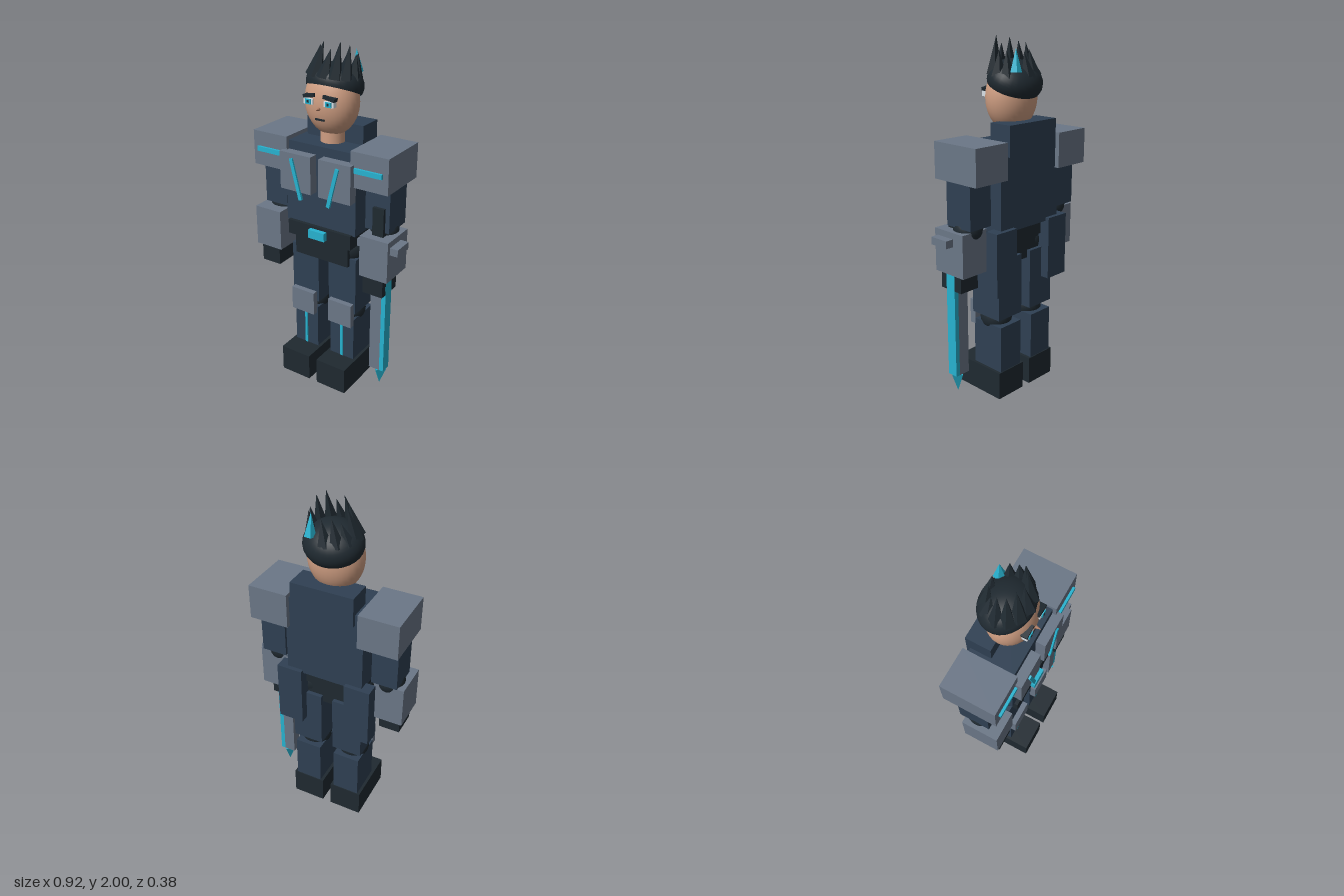
import * as THREE from 'three';

const mat = (name, color) => {
  const m = new THREE.MeshStandardMaterial({ color });
  m.name = name;
  return m;
};

export function createModel() {
  const navy = mat('navy cloth', 0x2f4053);
  const dark = mat('black leather', 0x1f2930);
  const steel = mat('grey armour', 0x6b7787);
  const cyan = mat('cyan glow', 0x27b3d0);
  const skin = mat('skin', 0xcf9e82);
  const noseTone = mat('nose skin', 0xb07f66);
  const white = mat('eye white', 0xdfe8ee);

  const model = new THREE.Group();
  model.name = 'armouredFigure';
  const body = new THREE.Group();
  body.name = 'body';
  body.position.x = -0.025; // the sword's guard shifts the body off centre
  model.add(body);

  const add = (name, geo, material, x, y, z, parent = body) => {
    const m = new THREE.Mesh(geo, material);
    m.name = name;
    m.position.set(x, y, z);
    parent.add(m);
    return m;
  };
  // box given by its limits on each axis
  const box = (name, material, [x0, x1], [y0, y1], [z0, z1], parent = body) =>
    add(name, new THREE.BoxGeometry(x1 - x0, y1 - y0, z1 - z0), material,
      (x0 + x1) / 2, (y0 + y1) / 2, (z0 + z1) / 2, parent);
  const ball = (name, material, r, x, y, z) =>
    add(name, new THREE.SphereGeometry(r, 24, 16), material, x, y, z);
  // low-poly cone running from a base point to a tip
  const spike = (name, material, base, tip, r, sides) => {
    const dir = tip.clone().sub(base);
    let geo = new THREE.ConeGeometry(r, dir.length(), sides).toNonIndexed();
    geo.computeVertexNormals();
    const mid = base.clone().add(tip).multiplyScalar(0.5);
    const m = add(name, geo, material, mid.x, mid.y, mid.z);
    m.quaternion.setFromUnitVectors(new THREE.Vector3(0, 1, 0), dir.normalize());
    return m;
  };

  // torso, collar and belt
  box('torso', navy, [-0.225, 0.225], [0.99, 1.46], [-0.165, 0.095]);
  box('collar', navy, [-0.177, 0.18], [1.4, 1.565], [-0.187, -0.045]);
  box('belt', dark, [-0.205, 0.205], [0.91, 0.995], [-0.13, 0.115]);
  box('pelvis', dark, [-0.175, 0.175], [0.785, 0.92], [-0.115, 0.09]);
  box('buckle', cyan, [-0.053, 0.053], [0.93, 0.98], [0.11, 0.142]);

  // paired parts; s is +1 on the model's left
  for (const s of [1, -1]) {
    const side = s > 0 ? 'left' : 'right';
    const pair = (part, material, [a, b], y, z) =>
      box(side + part, material, s > 0 ? [a, b] : [-b, -a], y, z);

    // leg
    pair('Boot', dark, [0.027, 0.222], [0, 0.162], [-0.147, 0.189]);
    pair('Shin', navy, [0.045, 0.205], [0.16, 0.435], [-0.142, 0.066]);
    pair('ShinStripe', cyan, [0.118, 0.134], [0.165, 0.378], [0.064, 0.073]);
    ball(side + 'Knee', dark, 0.09, s * 0.125, 0.455, -0.028);
    pair('KneePad', steel, [0.05, 0.205], [0.4, 0.545], [0.06, 0.1]);
    pair('Thigh', navy, [0.035, 0.215], [0.48, 0.83], [-0.138, 0.068]);
    ball(side + 'Hip', dark, 0.1, s * 0.13, 0.87, -0.02);
    pair('CoatTail', navy, [0.13, 0.28], [0.65, 1.01], [-0.19, -0.11]);

    // chest plate with a slanted light strip
    pair('ChestPlate', steel, [0.025, 0.225], [1.195, 1.41], [0.09, 0.15]);
    const strip = add(side + 'ChestStrip', new THREE.BoxGeometry(0.021, 0.235, 0.014),
      cyan, s * 0.118, 1.268, 0.153);
    strip.rotation.z = -s * 0.25;

    // arm
    pair('ShoulderPad', steel, [0.202, 0.427], [1.285, 1.482], [-0.192, 0.116]);
    pair('ShoulderStripe', cyan, [0.23, 0.395], [1.37, 1.397], [0.112, 0.13]);
    pair('UpperArm', navy, [0.26, 0.407], [1.04, 1.3], [-0.125, 0.052]);
    ball(side + 'Elbow', dark, 0.08, s * 0.335, 1.02, -0.03);
    pair('Gauntlet', steel, [0.265, 0.438], [0.78, 1.02], [-0.098, 0.116]);
    pair('Hand', dark, [0.285, 0.408], [0.675, 0.785], [-0.046, 0.107]);

    // face
    const brow = add(side + 'Brow', new THREE.BoxGeometry(0.07, 0.018, 0.035), dark,
      s * 0.061, 1.725, 0.089);
    brow.rotation.z = -s * 0.18;
    pair('Eye', white, [0.034, 0.092], [1.681, 1.71], [0.07, 0.106]);
    pair('Iris', cyan, [0.045, 0.08], [1.682, 1.709], [0.103, 0.111]);
    pair('Pupil', dark, [0.057, 0.067], [1.69, 1.703], [0.109, 0.114]);
  }

  // head and neck
  add('neck', new THREE.CylinderGeometry(0.068, 0.068, 0.12, 24), skin, 0, 1.49, -0.03);
  add('head', new THREE.SphereGeometry(1, 32, 24), skin, 0, 1.683, -0.024)
    .scale.set(0.153, 0.187, 0.126);
  spike('nose', noseTone, new THREE.Vector3(0, 1.665, 0.085),
    new THREE.Vector3(0, 1.662, 0.131), 0.016, 8);
  box('mouth', dark, [-0.027, 0.027], [1.599, 1.609], [0.07, 0.096]);

  // hair cap, tipped back over the skull
  const cap = add('hairCap', new THREE.SphereGeometry(1, 28, 14, 0, Math.PI * 2, 0, Math.PI * 0.6),
    dark, 0, 1.765, -0.05);
  cap.scale.set(0.16, 0.11, 0.141);
  cap.rotation.x = -0.4;
  dark.side = THREE.DoubleSide;

  // ring of hair spikes leaning inwards and to the left
  const heights = [1.96, 2.0, 1.98, 1.93, 1.93, 1.9, 1.92, 1.93, 1.9, 1.96, 1.97, 1.99];
  heights.forEach((h, i) => {
    const a = (i / heights.length) * Math.PI * 2;
    const sx = Math.sin(a), cz = Math.cos(a);
    const base = new THREE.Vector3(sx * 0.115, 1.8 + 0.015 * cz, -0.042 + cz * 0.1);
    const tip = new THREE.Vector3(0.025 + sx * 0.1, h, -0.055 + cz * 0.08);
    // the spike at the back left is dyed
    if (i === 5) {
      base.set(0.085, 1.82, -0.135);
      tip.set(0.08, 1.94, -0.13);
      spike('dyedHairSpike', cyan, base, tip, 0.032, 5);
    } else {
      spike('hairSpike', dark, base, tip, 0.042, 5);
    }
  });

  // sword held point down in the left hand
  const sword = new THREE.Group();
  sword.name = 'sword';
  model.add(sword);
  box('grip', dark, [0.29, 0.357], [0.95, 1.18], [0.003, 0.071], sword);
  box('guard', steel, [0.21, 0.46], [0.943, 0.985], [-0.024, 0.093], sword);
  box('blade', steel, [0.29, 0.358], [0.16, 0.95], [0.005, 0.068], sword);
  box('bladeEdge', cyan, [0.358, 0.384], [0.16, 0.95], [0.005, 0.068], sword);
  const point = new THREE.ConeGeometry(0.043, 0.112, 4).toNonIndexed();
  point.computeVertexNormals();
  add('bladePoint', point, cyan, 0.345, 0.104, 0.037, sword).rotation.x = Math.PI;

  return model;
}
